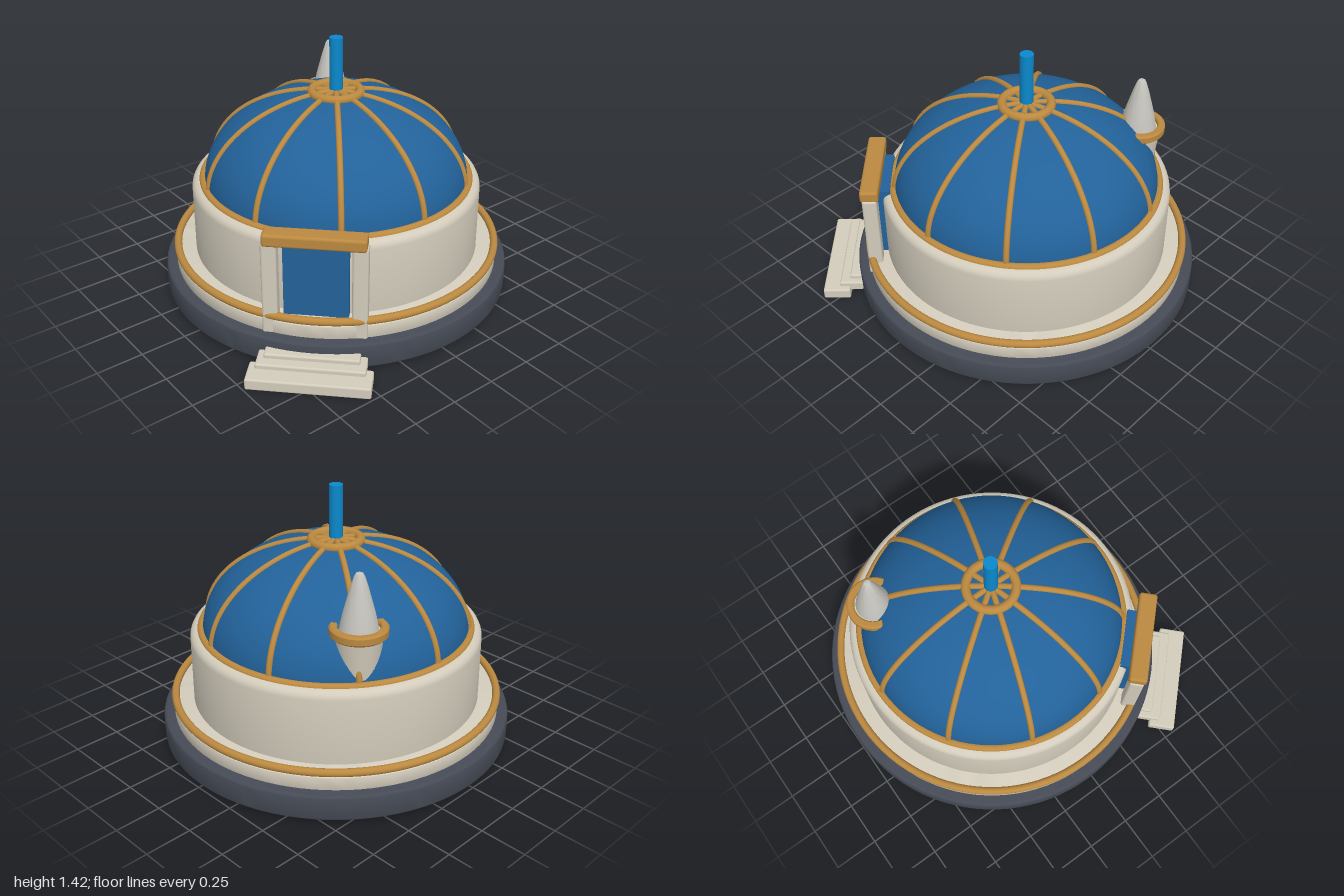
import * as THREE from 'three';
import { RoundedBoxGeometry } from 'three/addons/geometries/RoundedBoxGeometry.js';
import { toCreasedNormals } from 'three/addons/utils/BufferGeometryUtils.js';

const material = (name, color) => {
  const m = new THREE.MeshStandardMaterial({ color });
  m.name = name;
  return m;
};

export function createModel() {
  const slate = material('slate', 0x454a55);
  const cream = material('cream stone', 0xd3ccbc);
  const gold = material('gold trim', 0xbb8940);
  const blue = material('dome blue', 0x22629a);
  const bright = material('bright blue', 0x0b88cc);
  const grey = material('pale grey', 0xc6c4be);

  const model = new THREE.Group();
  model.name = 'domedPavilion';
  const hall = new THREE.Group();
  hall.name = 'hall';
  hall.position.set(-0.035, 0, -0.035);
  model.add(hall);

  const add = (parent, name, geometry, mat, x = 0, y = 0, z = 0) => {
    const mesh = new THREE.Mesh(geometry, mat);
    mesh.name = name;
    mesh.position.set(x, y, z);
    parent.add(mesh);
    return mesh;
  };
  const lathe = (points, segments = 96) => toCreasedNormals(
    new THREE.LatheGeometry(points.map(([r, y]) => new THREE.Vector2(r, y)), segments), 0.6);
  // Solid disc with rounded rims; bevel b at the bottom, t at the top
  const disc = (r, y0, y1, b, t) => {
    const pts = [[0, y0]];
    for (let i = 0; i <= 5; i++) {
      const a = (i / 5) * Math.PI / 2;
      pts.push([r - b + b * Math.sin(a), y0 + b - b * Math.cos(a)]);
    }
    for (let i = 0; i <= 5; i++) {
      const a = (i / 5) * Math.PI / 2;
      pts.push([r - t + t * Math.cos(a), y1 - t + t * Math.sin(a)]);
    }
    pts.push([0, y1]);
    return lathe(pts);
  };
  const ring = (parent, name, r, tube, y) => {
    const mesh = add(parent, name, new THREE.TorusGeometry(r, tube, 14, 96), gold, 0, y, 0);
    mesh.rotation.x = Math.PI / 2;
    return mesh;
  };

  // Stacked round body
  add(hall, 'basePlinth', disc(0.965, 0.02, 0.16, 0.015, 0.02), slate);
  add(hall, 'terrace', disc(0.905, 0.15, 0.235, 0.01, 0.012), cream);
  ring(hall, 'terraceRing', 0.895, 0.021, 0.255);
  add(hall, 'drumWall', disc(0.795, 0.22, 0.64, 0.01, 0.045), cream);
  ring(hall, 'domeRing', 0.733, 0.022, 0.635);

  // Elliptical dome with ten ribs
  const R = 0.725, H = 0.5, Y0 = 0.62;
  const dome = new THREE.SphereGeometry(1, 80, 28, 0, Math.PI * 2, 0, Math.PI / 2);
  dome.scale(R, H, R);
  add(hall, 'dome', dome, blue, 0, Y0, 0);
  const ribPoints = [];
  for (let i = 0; i <= 16; i++) {
    const a = (i / 16) * Math.PI / 2;
    ribPoints.push(new THREE.Vector3(R * Math.cos(a), Y0 + H * Math.sin(a), 0));
  }
  const ribGeometry = new THREE.TubeGeometry(new THREE.CatmullRomCurve3(ribPoints), 40, 0.016, 10);
  for (let i = 0; i < 10; i++) {
    add(hall, 'domeRib', ribGeometry, gold).rotation.y = (i * Math.PI) / 5;
  }
  ring(hall, 'crownRing', 0.13, 0.025, 1.117);
  add(hall, 'finial', new THREE.CylinderGeometry(0.036, 0.036, 0.32, 32), bright, 0, 1.26, 0);

  // Small turret growing out of the dome
  const turret = new THREE.Group();
  turret.name = 'turret';
  turret.position.set(-0.548, 0, -0.39);
  model.add(turret);
  add(turret, 'turretBody', new THREE.CylinderGeometry(0.125, 0.095, 0.26, 40), cream, 0, 0.76, 0);
  add(turret, 'turretCollar', lathe([[0.105, 0.87], [0.11, 0.863], [0.138, 0.863], [0.147, 0.872],
    [0.147, 0.905], [0.138, 0.914], [0.112, 0.914], [0.105, 0.905], [0.105, 0.87]], 48), gold);
  add(turret, 'turretSpire', lathe([[0.1, 0.88], [0.093, 0.92], [0.08, 0.98], [0.064, 1.04],
    [0.045, 1.11], [0.026, 1.17], [0.018, 1.184], [0, 1.19]], 40), grey);

  // Entrance on the diagonal: local +z points outward
  const entrance = new THREE.Group();
  entrance.name = 'entrance';
  entrance.rotation.y = Math.PI / 4;
  hall.add(entrance);
  const block = (name, w, h, d, x, y, z, mat, r = 0.012) =>
    add(entrance, name, new RoundedBoxGeometry(w, h, d, 3, r), mat, x, y, z);
  for (const side of [-1, 1]) {
    block('doorColumn', 0.08, 0.52, 0.08, side * 0.225, 0.41, 0.84, cream, 0.014);
  }
  block('lintel', 0.515, 0.068, 0.1, 0, 0.69, 0.84, gold, 0.015);
  add(entrance, 'door', new THREE.BoxGeometry(0.33, 0.44, 0.08), blue, 0, 0.44, 0.78);

  // Steps: length, depth, outer distance, bottom, top
  for (const [w, d, out, y0, y1] of [
    [0.62, 0.15, 1.146, 0, 0.063],
    [0.55, 0.13, 1.055, 0.03, 0.088],
    [0.48, 0.11, 1.0, 0.055, 0.112],
  ]) {
    block('step', w, y1 - y0, d, 0, (y0 + y1) / 2, out - d / 2, cream, 0.01);
  }
  return model;
}
